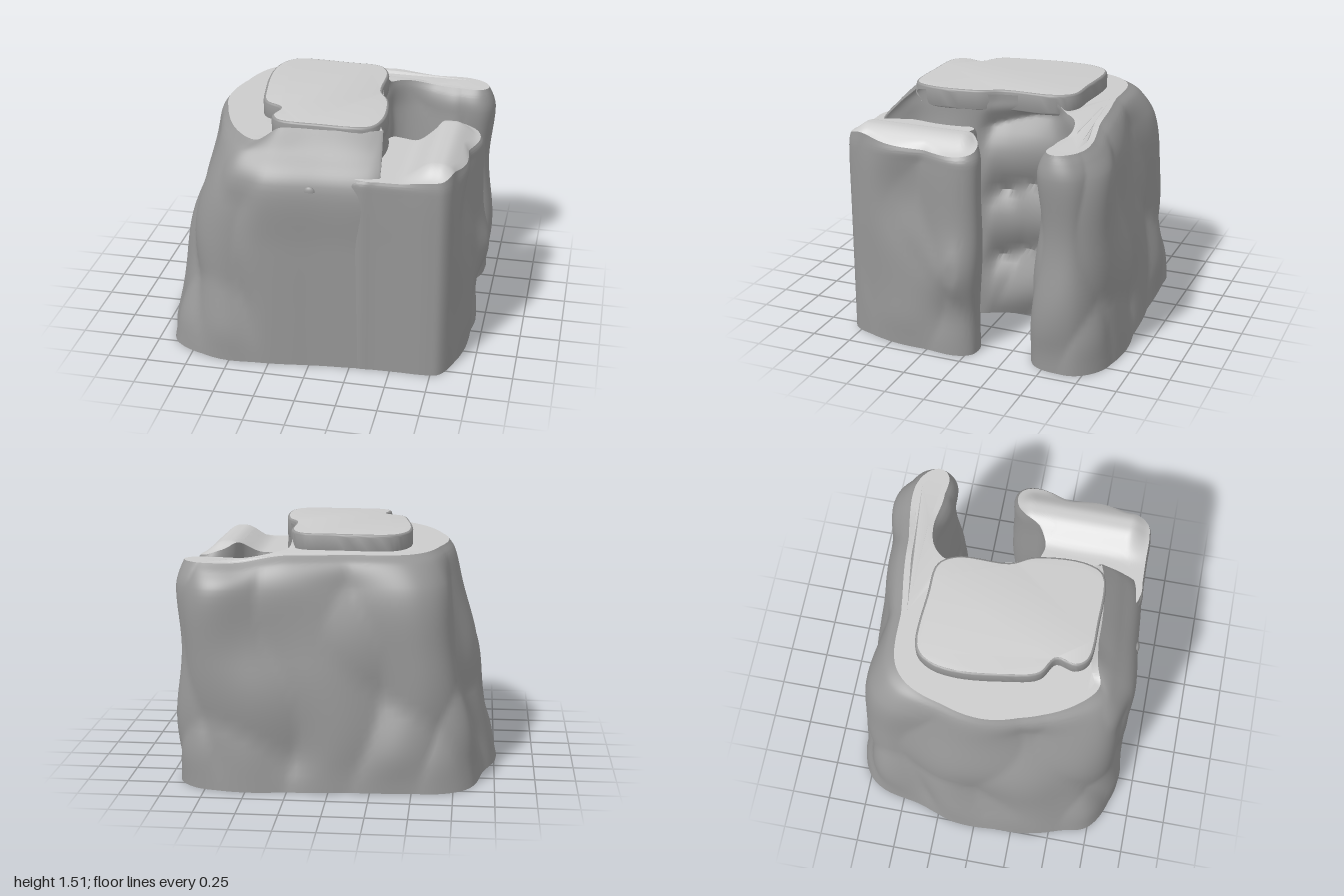
import * as THREE from 'three';
import { toCreasedNormals } from 'three/addons/utils/BufferGeometryUtils.js';

const { smoothstep, lerp, clamp } = THREE.MathUtils;
const rock = new THREE.MeshStandardMaterial({ color: 0x969696, side: THREE.DoubleSide });
const paleTop = new THREE.MeshStandardMaterial({ color: 0xcccccc, side: THREE.DoubleSide });
const bump = (a, a0, wa, b, b0, wb) => Math.exp(-(((a - a0) / wa) ** 2) - ((b - b0) / wb) ** 2);

// Upright weathered folds; they fade out on the smooth front face and near the ground
function relief(x, y, z) {
  const a = Math.abs(Math.sin(6.5 * x + 2.5 * z + 0.9 * Math.sin(3.2 * y + 2 * x)));
  const b = Math.abs(Math.sin(6 * z - 2 * x + 0.9 * Math.sin(3.6 * y + 2 * z) + 0.8 * y));
  const c = Math.sin(7 * y + 4 * x - 3 * z);
  const front = smoothstep(z, 0.6, 0.76) * smoothstep(x, -0.5, -0.25);
  const fade = (1 - front) * (0.3 + 0.7 * smoothstep(y, 0, 0.25)) * (1 - 0.7 * smoothstep(y, 1.2, 1.4));
  return fade * (0.034 * (a + b - 1.27) + 0.008 * c);
}

function meshData(pos) {
  const geo = new THREE.BufferGeometry();
  geo.setAttribute('position', new THREE.Float32BufferAttribute(pos, 3));
  return toCreasedNormals(geo, 0.8);
}

// Skin of closed rings; profile() gives each column's key points from ground to rim.
// The top closes onto a spine at height top(x, z), or onto a flat ledge when there is no spine.
function loft(controls, columns, profile, { hide, bulge, top, spine, ledge }) {
  const rows = 40;
  // sample the control table as a closed spline
  const sample = (u) => {
    const n = controls.length, f = u * n, i = Math.floor(f), t = f - i;
    const P = [-1, 0, 1, 2].map((k) => controls[(i + k + n) % n]);
    return controls[0].map((_, k) => {
      const [a, b, c, d] = P.map((p) => p[k]);
      return b + 0.5 * t * (c - a + t * (2 * a - 5 * b + 4 * c - d + t * (3 * (b - c) + d - a)));
    });
  };
  const rings = Array.from({ length: rows + 1 }, () => []);
  for (let j = 0; j < columns; j++) {
    const curve = new THREE.CatmullRomCurve3(profile(sample(j / columns)));
    for (let i = 0; i <= rows; i++) rings[i].push(curve.getPoint(i / rows));
  }
  // move every point of a ring along its outward plan normal
  const offset = (ring, amount) => ring.map((p, j) => {
    const a = ring[(j + columns - 2) % columns], b = ring[(j + 2) % columns];
    const n = new THREE.Vector3(b.z - a.z, 0, a.x - b.x).normalize();
    return p.clone().addScaledVector(n, amount(p));
  });
  const skin = rings.map((ring) => offset(ring, (p) => relief(p.x, p.y, p.z)));
  skin.forEach((ring) => ring.forEach(bulge));
  const rim = skin[rows];
  const wall = [], cap = [];
  const tri = (out, a, b, c) => out.push(...a.toArray(), ...b.toArray(), ...c.toArray());
  const band = (out, low, high) => low.forEach((a, j) => {
    const k = (j + 1) % columns;
    if (out === wall && hide(a)) return;
    tri(out, a, high[j], low[k]);
    tri(out, low[k], high[j], high[k]);
  });
  for (let i = 0; i < rows; i++) band(wall, skin[i], skin[i + 1]);
  if (spine) {
    let low = rim;
    for (let i = 1; i <= 12; i++) {
      const high = rim.map((p) => {
        const s = spine(p), x = lerp(p.x, s.x, i / 12), z = lerp(p.z, s.z, i / 12);
        return new THREE.Vector3(x, top(x, z), z);
      });
      band(cap, low, high);
      low = high;
    }
  } else {
    const inner = offset(rim, () => -0.035);
    inner.forEach((p) => { p.y = Math.min(p.y, ledge); });
    band(cap, rim, inner);
    const flat = inner.map((p) => new THREE.Vector2(p.x, p.z));
    for (const [i, j, k] of THREE.ShapeUtils.triangulateShape(flat, [])) {
      const [a, b, c] = [inner[i], inner[j], inner[k]];
      const up = (b.z - a.z) * (c.x - a.x) - (b.x - a.x) * (c.z - a.z);
      if (up > 0) tri(cap, a, b, c); else tri(cap, a, c, b);
    }
  }
  return { wall: meshData(wall), cap: meshData(cap) };
}

// Main C-shaped outcrop: ground x, z, rim x, z, and how far the shoulder leans to the rim
const BODY = [
  [0.39, 0.81, 0.37, 0.56, 0.05], [0.05, 0.85, 0.05, 0.6, 0.05], [-0.3, 0.89, -0.22, 0.62, 0.1],
  [-0.62, 0.88, -0.36, 0.66, 0.4], [-0.86, 0.76, -0.48, 0.56, 0.65], [-0.94, 0.56, -0.6, 0.36, 0.75],
  [-1, 0.3, -0.67, 0.12, 0.8], [-1, -0.15, -0.67, -0.1, 0.78], [-0.92, -0.4, -0.61, -0.34, 0.7],
  [-0.86, -0.68, -0.52, -0.5, 0.6], [-0.66, -0.81, -0.38, -0.58, 0.5], [-0.3, -0.83, -0.1, -0.61, 0.45],
  [0.15, -0.87, 0.2, -0.64, 0.48], [0.5, -0.89, 0.5, -0.67, 0.48], [0.76, -0.85, 0.75, -0.69, 0.4],
  [0.91, -0.72, 0.85, -0.64, 0.3], [0.93, -0.56, 0.89, -0.56, 0.3], [0.87, -0.43, 0.84, -0.5, 0.3],
  [0.71, -0.38, 0.7, -0.5, 0.3], [0.52, -0.45, 0.52, -0.53, 0.3], [0.36, -0.42, 0.36, -0.48, 0.3],
  [0.29, -0.3, 0.27, -0.34, 0.5], [0.29, -0.05, 0.29, -0.05, 0.5], [0.36, 0.2, 0.36, 0.18, 0.5],
  [0.39, 0.7, 0.38, 0.48, 0.05],
];
function bodyProfile([bx, bz, tx, tz, k]) {
  // the rim climbs to the plateau at the front and recess, and drops along the back arm
  const climb = smoothstep(tx, -0.36, -0.2) * smoothstep(tz, 0.3, 0.55)
    + smoothstep(tx, 0.2, 0.27) * smoothstep(tz, -0.42, -0.3) * (1 - smoothstep(tz, 0.3, 0.55));
  const y = 1.41 + 0.075 * climb - 0.045 * smoothstep(tx, 0.25, 0.6) * smoothstep(-tz, 0.3, 0.45);
  const at = (t, h) => new THREE.Vector3(lerp(bx, tx, t), h, lerp(bz, tz, t));
  return [at(0, 0), at(k * 0.3, 0.4), at(k * 0.58, 0.8), at(k, 1.22),
    at(lerp(k, 1, 0.5), y - 0.05 - 0.06 * climb), at(1, y)];
}

// Lower front arm: ground outline, its front running on into the outcrop's front face
const ARM = [
  [0.72, 0.82], [0.55, 0.822], [0.4, 0.825], [0.3, 0.828], [0.22, 0.78], [0.3, 0.6], [0.33, 0.3],
  [0.36, 0.14], [0.5, 0.14], [0.63, 0.11], [0.7, 0.01], [0.79, -0.05], [0.89, -0.04], [0.94, 0.07],
  [0.93, 0.28], [0.91, 0.48], [0.87, 0.66], [0.81, 0.79],
];
const armTop = (x, z) => 1.275 + 0.095 * smoothstep(x, 0.52, 0.72) * (1 - smoothstep(x, 0.76, 0.93))
  * (1 - 0.8 * smoothstep(z, 0.68, 0.82)) * (0.4 + 0.6 * smoothstep(z, -0.06, 0.06));
const armSpine = (p) => ({ x: 0.66, z: clamp(p.z, 0.22, 0.66) });
function armProfile([x, z]) {
  const s = armSpine({ z });
  const at = (t, y) => new THREE.Vector3(lerp(x, s.x, t), y, lerp(z, s.z, t));
  const rim = at(0.08, 0);
  return [at(0, 0), at(0, 0.4), at(0, 0.8), at(0, 1.18), at(0.02, 1.25), rim.setY(armTop(rim.x, rim.z))];
}

// Raised plateau slab outline, with a cleft at its front left
const SLAB = [
  [-0.43, -0.36], [-0.35, -0.45], [0, -0.45], [0.2, -0.43], [0.27, -0.32], [0.285, 0], [0.35, 0.14], [0.37, 0.45],
  [0.31, 0.57], [0, 0.59], [-0.24, 0.57], [-0.29, 0.5], [-0.27, 0.38], [-0.38, 0.3], [-0.43, 0.1], [-0.46, -0.2],
];

export function createModel() {
  const group = new THREE.Group();
  const add = (name, geo, material) => {
    const mesh = new THREE.Mesh(geo, material);
    mesh.name = name;
    group.add(mesh);
    return mesh;
  };

  // Walls buried between outcrop and arm are left out so the underside stays one hollow
  const outcrop = loft(BODY, 250, bodyProfile, {
    hide: (p) => p.x > 0.3 && p.x < 0.46 && p.z > 0.19 && p.z < 0.8 && p.y < 1.2,
    // stacked boulders in the recess wall
    bulge: (p) => {
      const inside = smoothstep(p.x, 0.15, 0.25) * (1 - smoothstep(p.x, 0.4, 0.5))
        * smoothstep(p.z, -0.42, -0.3) * (1 - smoothstep(p.z, 0.05, 0.15)) * (1 - smoothstep(p.y, 1.35, 1.45));
      p.x += inside * 0.08 * (Math.abs(Math.sin(p.y * 7 + 2 * p.z + 0.3)) - 0.62);
    },
    ledge: 1.41,
  });
  add('outcropWall', outcrop.wall, rock);
  add('outcropLedge', outcrop.cap, paleTop);

  const arm = loft(ARM, 140, armProfile, {
    hide: (p) => p.x < 0.37 && p.z > 0.18 && p.z < 0.815,
    // knuckle on the outer tip and a scoop in the outer face
    bulge: (p) => {
      if (p.x > 0.8) {
        p.x += 0.085 * bump(p.y, 0.52, 0.2, p.z, 0.07, 0.16) - 0.035 * bump(p.y, 0.95, 0.22, p.z, 0.42, 0.18);
      }
      p.x = Math.min(p.x, 1);
    },
    top: armTop,
    spine: armSpine,
  });
  add('frontArmWall', arm.wall, rock);
  add('frontArmTop', arm.cap, paleTop);

  const outline = new THREE.CatmullRomCurve3(SLAB.map(([x, z]) => new THREE.Vector3(x, -z, 0)), true);
  const shape = new THREE.Shape(outline.getPoints(90).slice(0, -1).map((p) => new THREE.Vector2(p.x, p.y)));
  const slab = new THREE.ExtrudeGeometry(shape, {
    depth: 0.09, bevelThickness: 0.02, bevelSize: 0.015, bevelOffset: -0.01, bevelSegments: 4,
  });
  slab.rotateX(-Math.PI / 2).translate(0, 1.4, 0);
  add('plateau', toCreasedNormals(slab, 0.6), [paleTop, rock]);

  // Small half-round pebble on the front face
  const pebble = new THREE.SphereGeometry(0.034, 16, 8, 0, Math.PI * 2, 0, Math.PI / 2);
  add('frontPebble', pebble.scale(1, 1, 0.5), rock).position.set(0.01, 1.19, 0.845);

  return group;
}
